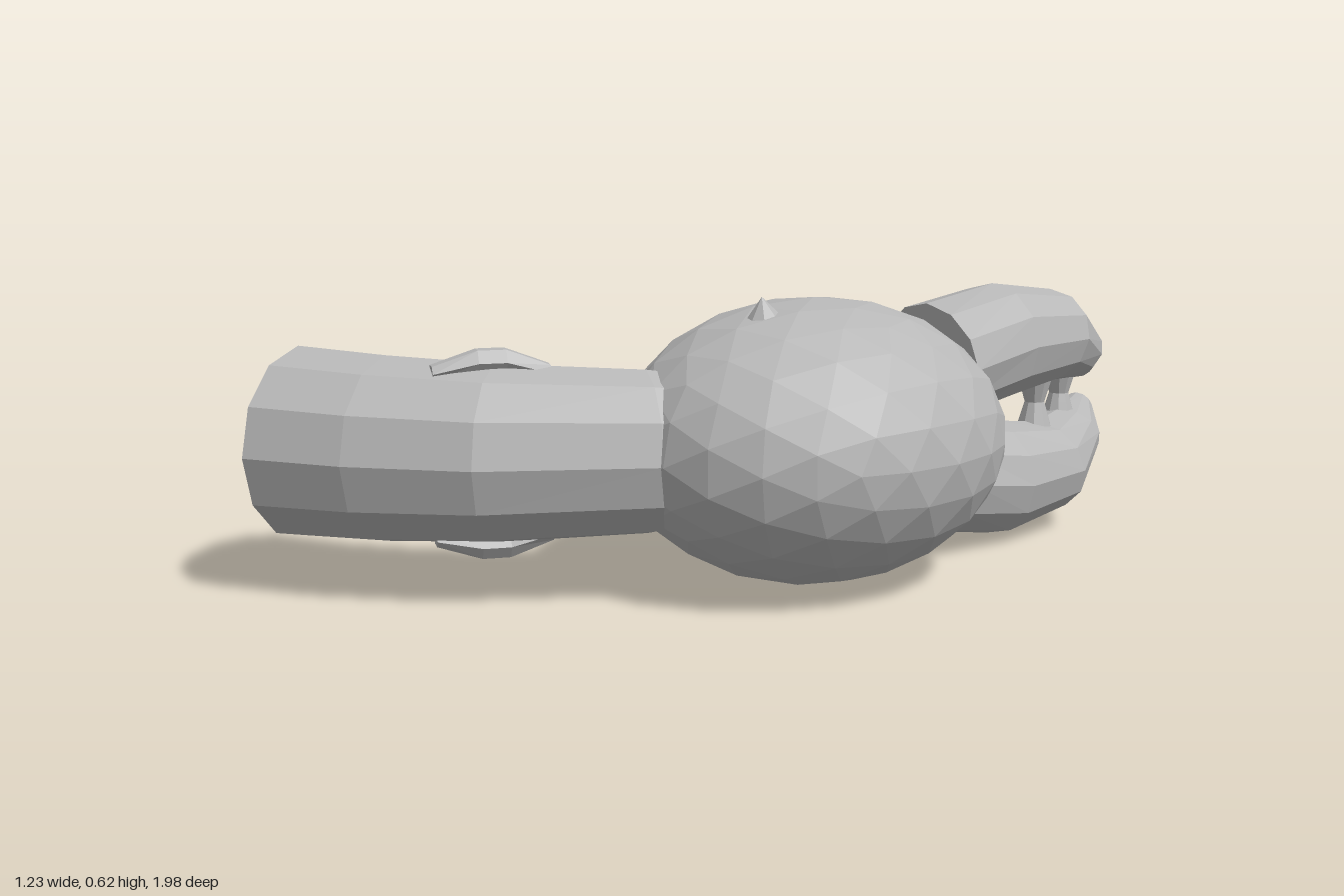
import * as THREE from 'three';

const MID = 0.308; // height of the horizontal symmetry plane

// Lofted, capped skin. Each section: [leftX, leftZ, rightX, rightZ, centreY, halfHeight, lean in z]
// centreY is measured from the symmetry plane; side = -1 builds the lower twin.
function loft(sections, sides, side = 1) {
  const pos = [];
  const rings = sections.map(([lx, lz, rx, rz, cy, hy, lean = 0]) => {
    const ring = [];
    for (let j = 0; j < sides; j++) {
      const a = (j / sides) * Math.PI * 2, c = Math.cos(a) / 2, s = Math.sin(a);
      ring.push([
        (lx + rx) / 2 + (lx - rx) * c,
        MID + side * (cy + hy * s),
        (lz + rz) / 2 + (lz - rz) * c + lean * s,
      ]);
    }
    return ring;
  });
  const tri = (a, b, c) => (side > 0 ? pos.push(...a, ...b, ...c) : pos.push(...a, ...c, ...b));
  for (let i = 0; i < rings.length - 1; i++) {
    for (let j = 0; j < sides; j++) {
      const k = (j + 1) % sides, A = rings[i], B = rings[i + 1];
      tri(A[j], A[k], B[j]);
      tri(A[k], B[k], B[j]);
    }
  }
  const first = rings[0], last = rings[rings.length - 1];
  for (let j = 1; j < sides - 1; j++) {
    tri(first[0], first[j + 1], first[j]);
    tri(last[0], last[j], last[j + 1]);
  }
  const g = new THREE.BufferGeometry();
  g.setAttribute('position', new THREE.Float32BufferAttribute(pos, 3));
  g.computeVertexNormals();
  return g;
}

export function createModel() {
  const model = new THREE.Group();
  model.name = 'clawArm';
  const grey = new THREE.MeshStandardMaterial({ color: 0xb8b8b8, flatShading: true });
  grey.name = 'grey';
  const add = (name, geometry) => {
    const mesh = new THREE.Mesh(geometry, grey);
    mesh.name = name;
    model.add(mesh);
    return mesh;
  };

  // Faceted egg-shaped palm
  const palm = add('palm', new THREE.IcosahedronGeometry(1, 3));
  palm.scale.set(0.396, 0.304, 0.442);
  palm.position.set(0.217, MID, 0.024);

  // Small spike on top of the palm
  const spike = add('spike', new THREE.ConeGeometry(0.05, 0.06, 8));
  spike.position.set(0.217, 0.596, 0.178);
  spike.rotation.x = 0.15;

  // Curved arm, narrowing into the palm
  add('arm', loft([
    [-0.615, 0.61, -0.47, 0.99, 0, 0.205],
    [-0.425, 0.545, -0.26, 0.9, 0, 0.197],
    [-0.25, 0.445, -0.03, 0.75, 0, 0.187],
    [-0.075, 0.285, 0.215, 0.46, 0, 0.172],
    [0.06, 0.12, 0.34, 0.26, 0, 0.14],
  ], 12));

  for (const side of [1, -1]) {
    const prefix = side > 0 ? 'upper' : 'lower';

    // Pincer finger with a hooked tip
    add(prefix + 'Finger', loft([
      [0.08, -0.385, 0.405, -0.31, 0.129, 0.133, 0.02],
      [0.135, -0.53, 0.415, -0.52, 0.16, 0.134, 0],
      [0.172, -0.7, 0.408, -0.73, 0.157, 0.108, -0.02],
      [0.192, -0.83, 0.335, -0.895, 0.096, 0.06, -0.035],
      [0.185, -0.975, 0.25, -0.985, 0.048, 0.028, -0.014],
    ], 12, side));

    // Raised ridge on the arm
    add(prefix + 'Ridge', loft([
      [-0.237, 0.69, -0.182, 0.722, 0.173, 0.016],
      [-0.19, 0.61, -0.13, 0.645, 0.192, 0.029],
      [-0.16, 0.56, -0.1, 0.595, 0.192, 0.029],
      [-0.107, 0.488, -0.047, 0.523, 0.168, 0.018],
    ], 6, side));
  }

  // Waisted teeth between the fingers
  const waist = [[0.001, -0.06], [0.042, -0.06], [0.03, -0.02], [0.024, 0], [0.03, 0.02], [0.042, 0.06], [0.001, 0.06]]
    .map(([r, y]) => new THREE.Vector2(r, y));
  [[0.285, -0.69], [0.25, -0.84]].forEach(([x, z], i) => {
    const tooth = add(i ? 'frontTooth' : 'backTooth', new THREE.LatheGeometry(waist, 10));
    tooth.position.set(x, MID, z);
  });

  return model;
}
